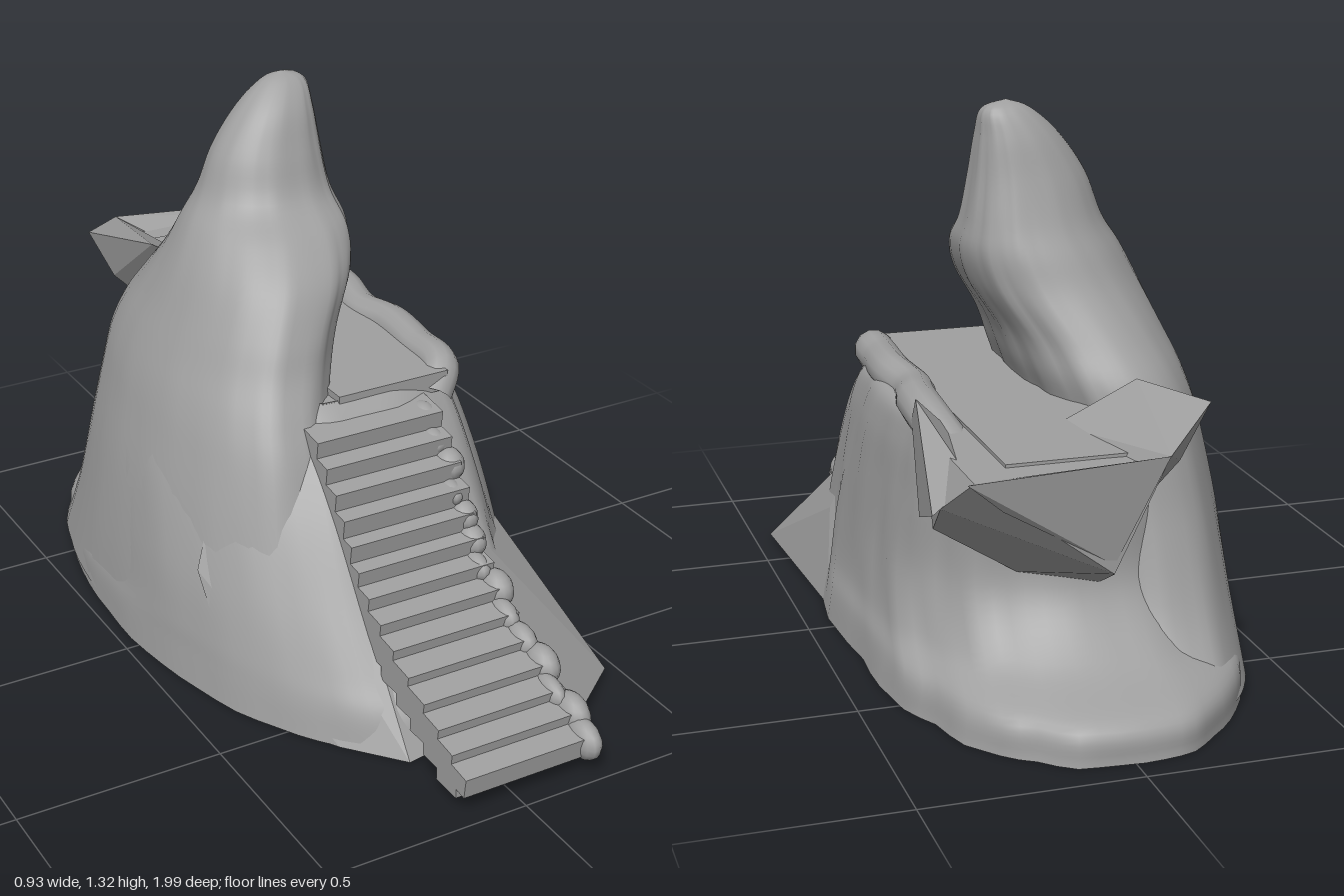
import * as THREE from 'three';
import { ConvexGeometry } from 'three/addons/geometries/ConvexGeometry.js';

const stone = new THREE.MeshStandardMaterial({ color: 0xa0a0a0 });
stone.name = 'grey stone';

// Closed loft through rows of [y, left x, right x, back z, front z]; rounder on the left, squarer on the right.
function loft(rows, steps, ripple, frontPower, backPower) {
  const sides = 72;
  const xs = new THREE.CatmullRomCurve3(rows.map(r => new THREE.Vector3(r[0], r[1], r[2])), false, 'catmullrom', 0.5);
  const zs = new THREE.CatmullRomCurve3(rows.map(r => new THREE.Vector3(0, r[3], r[4])), false, 'catmullrom', 0.5);
  const position = [], index = [];
  for (let i = 0; i <= steps; i++) {
    const px = xs.getPoint(i / steps), pz = zs.getPoint(i / steps);
    const y = Math.max(0, px.x);
    const rx = (px.z - px.y) / 2, rz = (pz.z - pz.y) / 2;
    for (let j = 0; j < sides; j++) {
      const a = j / sides * Math.PI * 2, c = Math.cos(a), s = Math.sin(a);
      const power = s > 0 ? frontPower : backPower;
      const e = 2 / (2 + (power - 2) * THREE.MathUtils.smoothstep(c, -0.5, 0.4));
      // vertical folds, strongest on the right-hand cliff
      const fold = 1 + ripple * (0.25 + 0.75 * Math.max(0, c)) *
        (Math.sin(a * 13 + y * 4) + 0.6 * Math.sin(a * 23 - y * 9));
      position.push(
        (px.y + px.z) / 2 + rx * fold * Math.sign(c) * Math.abs(c) ** e, y,
        (pz.y + pz.z) / 2 + rz * fold * Math.sign(s) * Math.abs(s) ** e);
      if (i < steps) {
        const k = (j + 1) % sides, p = i * sides, q = p + sides;
        index.push(p + j, q + j, p + k, p + k, q + j, q + k);
      }
    }
  }
  const g = new THREE.BufferGeometry();
  g.setAttribute('position', new THREE.Float32BufferAttribute(position, 3));
  g.setIndex(index);
  g.computeVertexNormals();
  return g;
}

export function createModel() {
  const model = new THREE.Group();
  const add = (name, geometry, parent = model) => {
    const m = new THREE.Mesh(geometry, stone);
    m.name = name;
    parent.add(m);
    return m;
  };
  const crag = (name, points) =>
    add(name, new ConvexGeometry(points.map(p => new THREE.Vector3(...p))));

  // Lower mass
  const foot = [0, -0.47, 0.43, -0.94, 0.72];
  add('cliffBody', loft([
    foot,
    [0.08, -0.465, 0.42, -0.92, 0.69],
    [0.15, -0.455, 0.405, -0.76, 0.63],
    [0.28, -0.44, 0.395, -0.65, 0.53],
    [0.45, -0.41, 0.385, -0.64, 0.41],
    [0.58, -0.37, 0.375, -0.64, 0.30],
    [0.655, -0.33, 0.35, -0.63, 0.22],
    [0.655, -0.28, 0.28, -0.56, 0.18],
    [0.655, 0, 0, -0.2, -0.2],
  ], 54, 0.016, 3, 2.4));
  add('underside', loft([[0, 0, 0, -0.1, -0.1], foot], 1, 0.016, 3, 2.4));

  // Smooth flank rising from the ground into a peak that leans over the ledge
  add('peak', loft([
    [0.02, -0.465, 0.05, -0.80, 0.50],
    [0.20, -0.45, 0.03, -0.69, 0.43],
    [0.40, -0.42, 0.02, -0.63, 0.35],
    [0.55, -0.385, 0.02, -0.605, 0.29],
    [0.64, -0.36, 0.03, -0.59, 0.24],
    [0.72, -0.33, 0.06, -0.56, 0.19],
    [0.80, -0.295, 0.09, -0.505, 0.155],
    [0.90, -0.25, 0.15, -0.44, 0.10],
    [0.98, -0.205, 0.175, -0.405, 0.02],
    [1.05, -0.155, 0.165, -0.375, -0.075],
    [1.15, -0.115, 0.15, -0.345, -0.12],
    [1.24, -0.05, 0.14, -0.32, -0.16],
    [1.30, 0.02, 0.13, -0.29, -0.21],
    [1.32, 0.075, 0.075, -0.25, -0.25],
  ], 65, 0.014, 2.5, 2.5));

  // Flat walkway
  add('ledge', new THREE.BoxGeometry(0.30, 0.05, 1.09)).position.set(0.12, 0.647, -0.325);

  // Low uneven rim along the outer edge of the walkway, dipping into the cliff at both ends
  const rim = [[0.24, 0.60, 0.2], [0.285, 0.65, 0.16], [0.295, 0.655, 0.04], [0.305, 0.66, -0.1],
    [0.29, 0.652, -0.22], [0.31, 0.66, -0.34], [0.315, 0.655, -0.46], [0.3, 0.62, -0.6]];
  add('ledgeRim', new THREE.TubeGeometry(
    new THREE.CatmullRomCurve3(rim.map(p => new THREE.Vector3(...p))), 64, 0.048, 12));

  // Overhang behind, with raised jagged rims
  crag('overhang', [
    [-0.04, 0.665, -0.97], [0.36, 0.665, -0.95], [0.40, 0.58, -0.84], [0.36, 0.665, -0.56],
    [-0.09, 0.66, -0.78], [-0.05, 0.66, -0.55], [0.06, 0.44, -0.95], [-0.02, 0.30, -0.64],
    [0.35, 0.45, -0.6], [-0.04, 0.38, -0.58], [0.16, 0.33, -0.6],
  ]);
  crag('backRim', [
    [-0.04, 0.70, -1.0], [0.38, 0.67, -0.97], [0.34, 0.66, -0.93], [0.03, 0.66, -0.93],
    [0.06, 0.46, -0.95], [0.3, 0.6, -0.95],
  ]);
  crag('sideRim', [
    [-0.04, 0.70, -1.0], [-0.2, 0.75, -0.82], [-0.1, 0.76, -0.64], [0.07, 0.66, -0.6],
    [0, 0.66, -0.92], [-0.14, 0.62, -0.8], [0.0, 0.48, -0.8],
  ]);
  crag('cornerRim', [
    [0.38, 0.74, -0.58], [0.42, 0.57, -0.85], [0.38, 0.48, -0.6], [0.30, 0.66, -0.55],
    [0.34, 0.64, -0.86], [0.36, 0.66, -0.47],
  ]);

  // Sloping skirts either side of the stair
  crag('rightSkirt', [
    [0.22, 0.07, 0.87], [0.46, 0.015, 0.66], [0.2, 0, 0.68], [0.42, 0, 0.15],
    [0.385, 0.22, 0.25], [0.33, 0.38, 0.2], [0.18, 0.40, 0.4], [0, 0, 0.5],
  ]);
  crag('leftSkirt', [
    [-0.14, 0, 0.74], [-0.25, 0, 0.61], [-0.38, 0, 0.38], [-0.40, 0.3, 0.2],
    [-0.13, 0.6, 0.24], [-0.3, 0.56, 0.14], [-0.13, 0.3, 0.5], [0.1, 0, 0.7],
  ]);

  // Stair: slabs with a rounded stone at each right end, steeper near the top
  const stairs = new THREE.Group();
  stairs.name = 'stairs';
  model.add(stairs);
  const path = new THREE.CatmullRomCurve3([
    [0.10, 0.92], [0.18, 0.77], [0.265, 0.60], [0.37, 0.465], [0.50, 0.375], [0.625, 0.265],
  ].map(([y, z]) => new THREE.Vector3(0, y, z)));
  const count = 14;
  for (let i = 0; i < count; i++) {
    const p = path.getPoint(i / (count - 1)), wobble = Math.sin(i * 2.4);
    const step = add('step', new THREE.BoxGeometry(0.34, 0.05, 0.09), stairs);
    step.position.set(0.03, p.y - 0.025, p.z);
    step.rotation.x = 0.12;
    const riser = add('riser', new THREE.BoxGeometry(0.32, 0.06, 0.08), stairs);
    riser.position.set(0.02, p.y - 0.045, p.z - 0.03);
    const low = 1 - i / (count - 1);
    const end = add('stepStone', new THREE.SphereGeometry(1, 14, 10), stairs);
    end.position.set(0.175 + wobble * 0.012 + low * 0.02, p.y - 0.028, p.z + low * 0.012);
    end.scale.set(0.034 + 0.006 * wobble, 0.034 + 0.006 * wobble + low * 0.014, 0.046 + low * 0.016);
  }
  return model;
}
